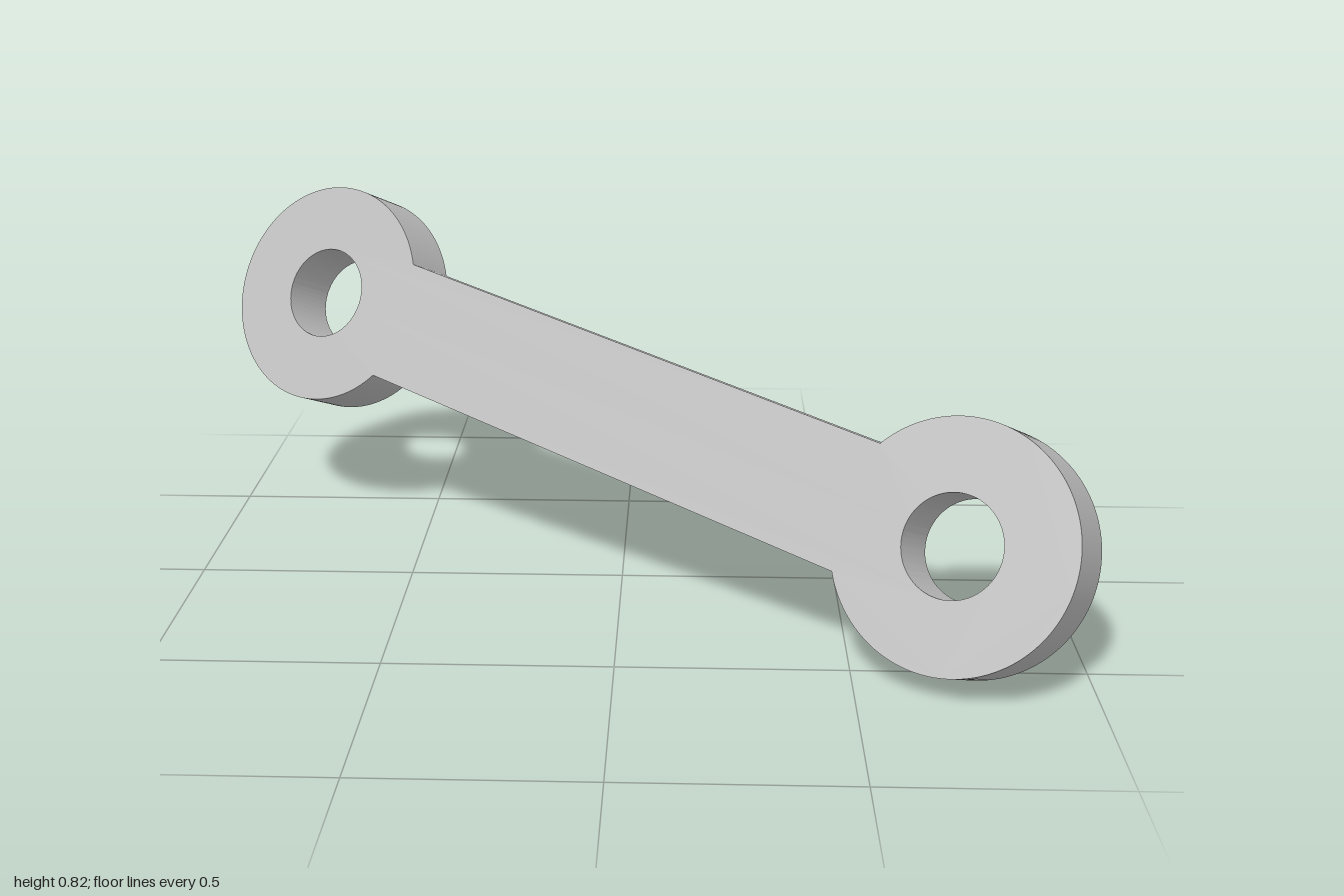
import * as THREE from 'three';
import { toCreasedNormals } from 'three/addons/utils/BufferGeometryUtils.js';

const EYE_RADIUS = 0.27;
const HOLE_RADIUS = 0.111;
const BAR_HALF_WIDTH = 0.1445;
const HALF_LENGTH = 0.886; // link centre to eye centre
const THICKNESS = 0.143;

export function createModel() {
  const model = new THREE.Group();
  model.name = 'link';
  const steel = new THREE.MeshStandardMaterial({ color: 0xc0c0c0 });
  steel.name = 'steel grey';

  // Outline: two round eyes joined by a straight bar
  const a = Math.asin(BAR_HALF_WIDTH / EYE_RADIUS);
  const outline = new THREE.Shape();
  outline.absarc(HALF_LENGTH, 0, EYE_RADIUS, -Math.PI + a, Math.PI - a, false);
  outline.absarc(-HALF_LENGTH, 0, EYE_RADIUS, a, Math.PI * 2 - a, false);
  outline.closePath();

  // Pin hole through each eye
  for (const side of [-1, 1]) {
    const hole = new THREE.Path();
    hole.absarc(side * HALF_LENGTH, 0, HOLE_RADIUS, 0, Math.PI * 2, true);
    outline.holes.push(hole);
  }

  const plate = new THREE.ExtrudeGeometry(outline, {
    depth: THICKNESS, bevelEnabled: false, curveSegments: 64,
  });
  plate.translate(0, 0, -THICKNESS / 2);
  const link = new THREE.Mesh(toCreasedNormals(plate, Math.PI / 6), steel);
  link.name = 'linkPlate';

  // Tilt: long axis runs right-down-forward, broad face looks up and forward
  const along = new THREE.Vector3(0.727, -0.1345, 0.489).normalize();
  const across = new THREE.Vector3(-0.468, 0.398, 0.789).cross(along).normalize();
  const facing = along.clone().cross(across);
  link.quaternion.setFromRotationMatrix(new THREE.Matrix4().makeBasis(along, across, facing));
  link.position.y = 0.4115;

  model.add(link);
  return model;
}
